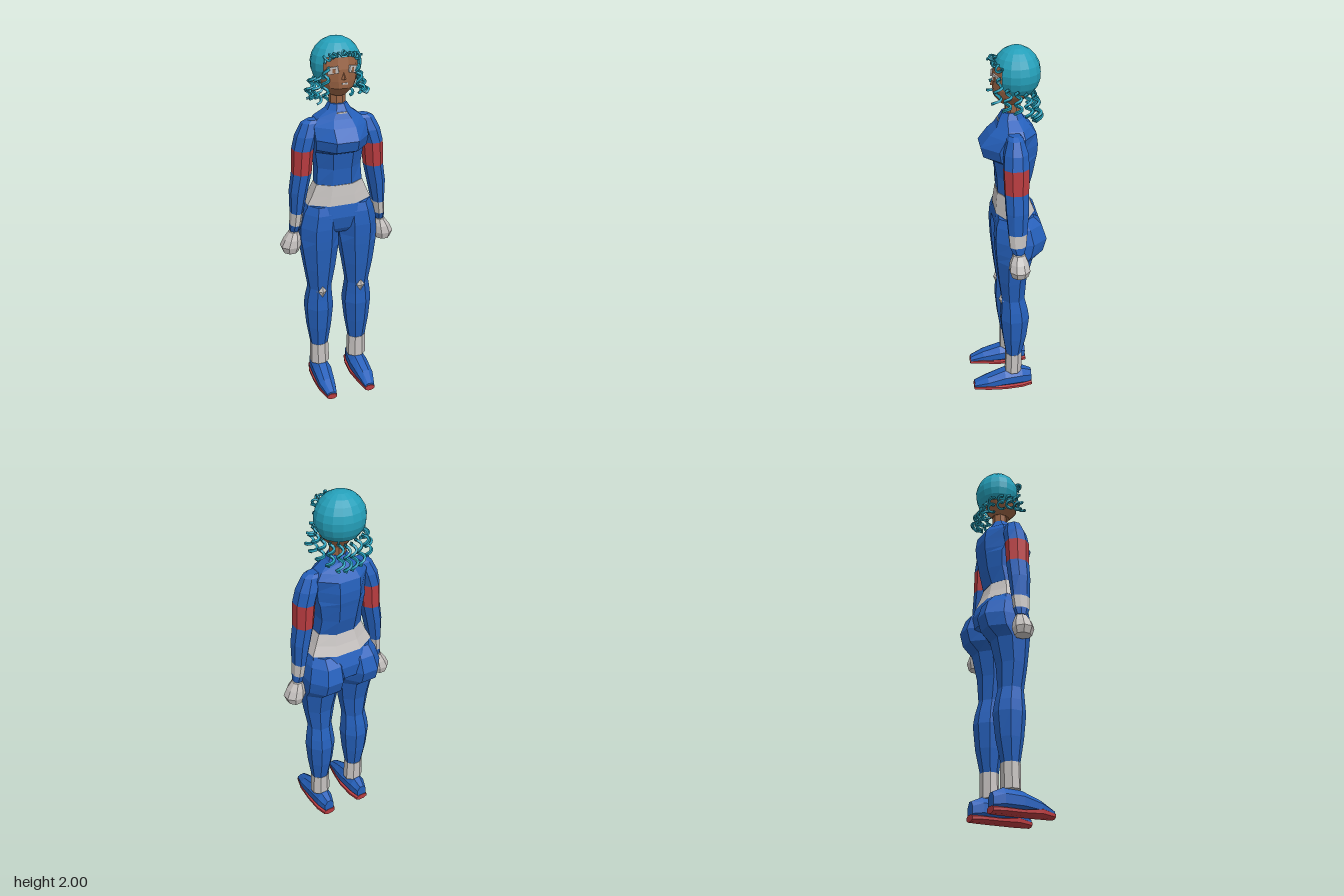
import * as THREE from 'three';

const mat = (name, color) => {
  const m = new THREE.MeshStandardMaterial({ color });
  m.name = name;
  return m;
};
const blue = mat('suit blue', 0x2560bb);
const red = mat('trim red', 0xb93c40);
const pale = mat('trim white', 0xc6c2c0);
const teal = mat('hair teal', 0x25a0ba);
const skin = mat('skin brown', 0x9a6444);
teal.side = THREE.DoubleSide;

// faceted normals
function flat(geometry) {
  const g = geometry.index ? geometry.toNonIndexed() : geometry;
  g.computeVertexNormals();
  return g;
}

// Rows are [position, x0, x1, v0, v1], ascending. Axis y: v is z. Axis z: v is y.
function loft(rows, axis = 'y', n = 8) {
  const pos = [], index = [], k = 1 / Math.cos(Math.PI / n);
  const put = (p, x, v) => (axis === 'y' ? pos.push(x, p, v) : pos.push(x, v, p));
  const s = axis === 'y' ? 1 : -1;
  for (const [p, x0, x1, v0, v1] of rows) {
    for (let j = 0; j < n; j++) {
      const a = ((j + 0.5) / n) * Math.PI * 2;
      put(p, (x0 + x1) / 2 + Math.cos(a) * k * (x1 - x0) / 2,
        (v0 + v1) / 2 + s * Math.sin(a) * k * (v1 - v0) / 2);
    }
  }
  for (let i = 0; i < rows.length - 1; i++) {
    for (let j = 0; j < n; j++) {
      const a = i * n + j, b = i * n + (j + 1) % n;
      index.push(a, a + n, b, b, a + n, b + n);
    }
  }
  // end caps
  const last = (rows.length - 1) * n;
  for (let j = 1; j < n - 1; j++) {
    index.push(0, j, j + 1, last, last + j + 1, last + j);
  }
  const g = new THREE.BufferGeometry();
  g.setAttribute('position', new THREE.Float32BufferAttribute(pos, 3));
  g.setIndex(index);
  return flat(g);
}

const mirror = (rows, side) =>
  side > 0 ? rows : rows.map(([p, a, b, c, d]) => [p, -b, -a, c, d]);
// symmetric rows: [y, halfWidth, back, front]
const centred = rows => rows.map(([y, w, b, f]) => [y, -w, w, b, f]);

export function createModel() {
  const root = new THREE.Group();
  root.name = 'figure';
  const add = (name, geometry, material, parent = root) => {
    const m = new THREE.Mesh(geometry, material);
    m.name = name;
    parent.add(m);
    return m;
  };

  // Body
  add('torso', loft(centred([
    [1.25, 0.125, -0.11, 0.045], [1.34, 0.118, -0.135, 0.05], [1.43, 0.13, -0.15, 0.065],
    [1.455, 0.135, -0.155, 0.118], [1.51, 0.14, -0.158, 0.132], [1.57, 0.14, -0.15, 0.085],
    [1.605, 0.115, -0.125, 0.05], [1.645, 0.062, -0.09, 0.032], [1.675, 0.045, -0.075, 0.015],
  ])), blue);
  add('belt', loft(centred([
    [1.14, 0.176, -0.145, 0.06], [1.19, 0.152, -0.125, 0.055], [1.25, 0.127, -0.108, 0.048],
  ])), pale);
  add('pelvis', loft(centred([
    [0.97, 0.06, -0.12, 0.03], [1.0, 0.13, -0.165, 0.05],
    [1.07, 0.19, -0.17, 0.066], [1.14, 0.174, -0.145, 0.058],
  ])), blue);
  add('collarMark', new THREE.BoxGeometry(0.05, 0.007, 0.008), pale).position.set(0, 1.635, 0.036);

  const legRows = [
    [0.25, 0.066, 0.163, -0.075, 0.012], [0.37, 0.048, 0.18, -0.1, 0.03],
    [0.5, 0.036, 0.19, -0.114, 0.042], [0.56, 0.042, 0.184, -0.105, 0.038],
    [0.63, 0.048, 0.172, -0.088, 0.036], [0.76, 0.027, 0.193, -0.095, 0.052],
    [0.89, 0.008, 0.21, -0.125, 0.064], [0.94, 0.003, 0.215, -0.178, 0.067],
    [1.01, 0.0, 0.214, -0.198, 0.07], [1.09, 0.004, 0.194, -0.172, 0.064],
    [1.135, 0.03, 0.172, -0.13, 0.05],
  ];
  const cuffRows = [[0.12, 0.06, 0.167, -0.075, 0.015], [0.25, 0.065, 0.164, -0.077, 0.014]];
  const footRows = [
    [-0.135, 0.085, 0.142, 0.012, 0.1], [-0.08, 0.068, 0.16, 0.01, 0.125],
    [0.02, 0.06, 0.165, 0.01, 0.118], [0.12, 0.073, 0.163, 0.01, 0.082],
    [0.196, 0.087, 0.143, 0.01, 0.045],
  ];
  const soleRows = [
    [-0.138, 0.078, 0.148, 0, 0.035], [-0.08, 0.062, 0.164, 0, 0.035],
    [0.02, 0.058, 0.168, 0, 0.032], [0.12, 0.068, 0.166, 0, 0.05],
    [0.2, 0.087, 0.143, 0, 0.034],
  ];
  const armRows = [
    [0.99, 0.218, 0.268, -0.062, -0.008], [1.03, 0.21, 0.266, -0.072, 0.01],
    [1.1, 0.198, 0.262, -0.078, 0.016], [1.22, 0.172, 0.262, -0.086, 0.026],
    [1.32, 0.15, 0.247, -0.088, 0.03], [1.45, 0.138, 0.241, -0.09, 0.035],
    [1.52, 0.115, 0.224, -0.088, 0.03], [1.585, 0.1, 0.192, -0.068, 0.01],
    [1.6, 0.1, 0.165, -0.055, 0.0],
  ];
  const handRows = [
    [0.868, 0.228, 0.305, -0.08, 0.004], [0.905, 0.212, 0.319, -0.09, 0.015],
    [0.945, 0.213, 0.3, -0.082, 0.01], [0.985, 0.222, 0.272, -0.066, -0.006],
  ];

  // Limbs, mirrored
  for (const side of [1, -1]) {
    const limb = new THREE.Group();
    limb.name = side > 0 ? 'leftLimbs' : 'rightLimbs';
    root.add(limb);
    const part = (name, rows, m, axis) => add(name, loft(mirror(rows, side), axis), m, limb);
    part('leg', legRows, blue);
    part('ankleCuff', cuffRows, pale);
    part('shoe', footRows, blue, 'z');
    part('sole', soleRows, red, 'z');
    part('wrist', armRows.slice(0, 2), blue);
    part('wristBand', armRows.slice(1, 3), pale);
    part('forearm', armRows.slice(2, 5), blue);
    part('armBand', armRows.slice(4, 6), red);
    part('shoulder', armRows.slice(5), blue);
    part('hand', handRows, pale);
    const knee = add('kneePad', flat(new THREE.OctahedronGeometry(1, 0)), pale, limb);
    knee.scale.set(0.033, 0.055, 0.022);
    knee.position.set(side * 0.112, 0.62, 0.03);
    const eye = add('eye', new THREE.BoxGeometry(0.056, 0.034, 0.008), pale, limb);
    eye.position.set(side * 0.052, 1.857, 0.051);
    eye.rotation.set(0, side * 0.5, side * -0.2);
    const pupil = add('pupil', new THREE.BoxGeometry(0.015, 0.022, 0.008), skin, limb);
    pupil.position.set(side * 0.047, 1.855, 0.056);
    pupil.rotation.y = side * 0.5;
  }

  // Head
  add('neck', loft(centred([[1.63, 0.04, -0.072, 0.002], [1.78, 0.038, -0.075, 0.0]])), skin);
  add('face', loft(centred([
    [1.72, 0.04, -0.08, 0.02], [1.765, 0.08, -0.11, 0.058], [1.8, 0.096, -0.13, 0.06],
    [1.86, 0.103, -0.15, 0.06], [1.92, 0.098, -0.14, 0.048], [1.94, 0.08, -0.13, 0.03],
  ]), 'y', 12), skin);
  const nose = add('nose', flat(new THREE.ConeGeometry(0.012, 0.035, 4)), skin);
  nose.position.set(0, 1.83, 0.063);
  add('mouth', new THREE.BoxGeometry(0.03, 0.008, 0.006), pale).position.set(0.008, 1.79, 0.06);

  // Hair: full dome, then an open-fronted lower part
  const hair = new THREE.Group();
  hair.name = 'hair';
  root.add(hair);
  const split = Math.PI * 0.38;
  const dome = flat(new THREE.SphereGeometry(0.13, 16, 4, 0, Math.PI * 2, 0, split));
  const lower = flat(new THREE.SphereGeometry(
    0.13, 12, 4, Math.PI * 0.75, Math.PI * 1.5, split, Math.PI * 0.36));
  for (const [name, g] of [['hairDome', dome], ['hairSides', lower]]) {
    const m = add(name, g, teal, hair);
    m.scale.z = 0.92;
    m.position.set(0, 1.87, -0.055);
  }

  // Corkscrew curls between two points
  function curl(name, from, to, coil, tube, turns) {
    const a = new THREE.Vector3(...from), b = new THREE.Vector3(...to);
    const dir = b.clone().sub(a).normalize();
    const u = new THREE.Vector3(0, 0, 1).cross(dir).normalize();
    const v = dir.clone().cross(u);
    const pts = [];
    const steps = Math.round(turns * 7);
    for (let i = 0; i <= steps; i++) {
      const t = i / steps, w = t * turns * Math.PI * 2;
      const r = coil * (0.6 + 0.4 * t);
      pts.push(a.clone().lerp(b, t).addScaledVector(u, Math.cos(w) * r)
        .addScaledVector(v, Math.sin(w) * r));
    }
    const path = new THREE.CatmullRomCurve3(pts);
    add(name, flat(new THREE.TubeGeometry(path, steps * 2, tube, 4)), teal, hair);
  }
  // [angle from front, top y, bottom y, bottom radius]
  const locks = [
    [41, 1.87, 1.745, 0.148], [64, 1.82, 1.72, 0.15], [86, 1.81, 1.71, 0.145],
    [108, 1.8, 1.69, 0.146], [130, 1.79, 1.67, 0.143], [150, 1.78, 1.635, 0.125],
    [170, 1.77, 1.62, 0.105],
  ];
  for (const side of [1, -1]) {
    for (const [deg, top, bottom, r] of locks) {
      const a = deg * Math.PI / 180;
      const at = (y, d) => [side * Math.sin(a) * d, y, Math.cos(a) * d - 0.055];
      curl('curl', at(top, deg > 140 ? 0.095 : 0.118), at(bottom, r), 0.019, 0.0085, 2.3);
    }
    // fringe
    curl('fringeCurl', [side * 0.012, 1.935, 0.06], [side * 0.055, 1.93, 0.062], 0.012, 0.006, 2);
    curl('fringeCurl', [side * 0.05, 1.935, 0.062], [side * 0.095, 1.905, 0.035], 0.016, 0.007, 2);
  }
  curl('foreheadCurl', [0, 1.945, 0.045], [0.002, 1.935, 0.085], 0.01, 0.006, 1.5);
  return root;
}
